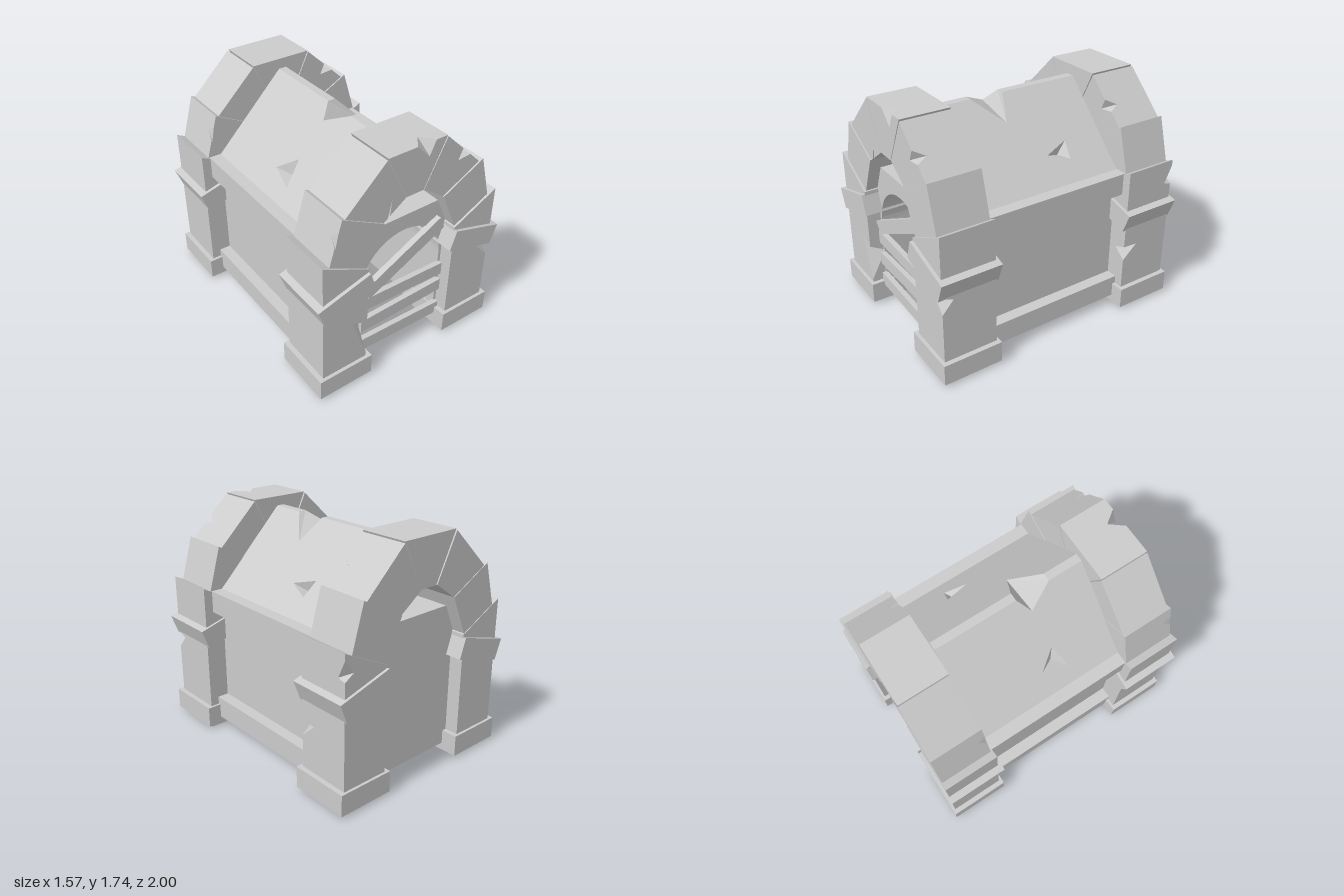
import * as THREE from 'three';

const V = (x, y, z) => new THREE.Vector3(x, y, z);
const material = new THREE.MeshStandardMaterial({ color: 0xcccccc, flatShading: true });

// Flat polygon with optional holes, turned to face the given direction
function poly(out, pts, toward, holes = []) {
  const n = V(0, 0, 0);
  pts.forEach((p, i) => n.add(p.clone().cross(pts[(i + 1) % pts.length])));
  n.normalize();
  if (n.dot(toward) < 0) n.negate();
  const u = pts[1].clone().sub(pts[0]).normalize(), v = n.clone().cross(u);
  const flat = (list) => list.map((p) => new THREE.Vector2(p.dot(u), p.dot(v)));
  const all = [...pts, ...holes.flat()];
  for (const t of THREE.ShapeUtils.triangulateShape(flat(pts), holes.map(flat))) {
    const [a, b, c] = t.map((i) => all[i]);
    const m = b.clone().sub(a).cross(c.clone().sub(a));
    for (const p of m.dot(n) > 0 ? [a, b, c] : [a, c, b]) out.push(p.x, p.y, p.z);
  }
}

function meshOf(out, name) {
  const g = new THREE.BufferGeometry();
  g.setAttribute('position', new THREE.Float32BufferAttribute(out, 3));
  g.computeVertexNormals();
  const m = new THREE.Mesh(g, material);
  m.name = name;
  return m;
}

// Prism along z with wedge-shaped chips broken out of its front or back edges.
// chip: edge index, end, t1..t2 along the edge, tip [x, y] on the end face,
// and a second tip at tr along the edge, depth into the side face.
function stone(name, profile, z0, z1, chips = [], mirror = 1) {
  const out = [];
  const at = (p, z) => V(p[0] * mirror, p[1], z);
  const mid = profile.reduce((s, p) => s.add(at(p, 0)), V(0, 0, 0)).divideScalar(profile.length);
  const caps = { front: [], back: [] };
  profile.forEach((a, i) => {
    const b = profile[(i + 1) % profile.length];
    const side = { front: [at(a, z1)], back: [at(a, z0)] };
    caps.front.push(at(a, z1));
    caps.back.push(at(a, z0));
    for (const c of chips.filter((k) => k.edge === i)) {
      const z = c.end === 'front' ? z1 : z0;
      const on = (t, zz) => at(a, zz).lerp(at(b, zz), t);
      const p1 = on(c.t1, z), p2 = on(c.t2, z), q = at(c.tip, z);
      const r = on(c.tr, z + (c.end === 'front' ? -c.depth : c.depth));
      caps[c.end].push(p1, q, p2);
      side[c.end].push(p1, r, p2);
      poly(out, [p1, q, r], p2.clone().sub(p1));
      poly(out, [p2, q, r], p1.clone().sub(p2));
    }
    side.front.push(at(b, z1));
    side.back.push(at(b, z0));
    const d = at(b, 0).sub(at(a, 0));
    poly(out, [...side.front, ...side.back.reverse()], V(d.y * mirror, -d.x * mirror, 0));
  });
  poly(out, caps.front, V(0, 0, 1));
  poly(out, caps.back, V(0, 0, -1));
  return meshOf(out, name);
}

function box(name, x0, x1, y0, y1, z0, z1) {
  const m = new THREE.Mesh(new THREE.BoxGeometry(x1 - x0, y1 - y0, z1 - z0), material);
  m.position.set((x0 + x1) / 2, (y0 + y1) / 2, (z0 + z1) / 2);
  m.name = name;
  return m;
}

// Wall block with an arched doorway running through it and no floor
function doorBlock(name, w, top, z0, z1) {
  const s = new THREE.Shape();
  s.moveTo(-w, 0.075);
  s.lineTo(-0.35, 0.075);
  s.lineTo(-0.35, 0.7);
  s.absarc(0, 0.7, 0.35, Math.PI, 0, true);
  s.lineTo(0.35, 0.075);
  s.lineTo(w, 0.075);
  s.lineTo(w, top);
  s.lineTo(-w, top);
  const g = new THREE.ExtrudeGeometry(s, { depth: z1 - z0, bevelEnabled: false, curveSegments: 16 });
  const m = new THREE.Mesh(g, material);
  m.position.z = z0;
  m.name = name;
  return m;
}

// Gabled roof with a broken ridge and a pit in each slope
function roof() {
  const out = [], Z = 0.575, E = 0.575, R = 0.03;
  const on = (x, z) => V(x, 1.665 - (Math.abs(x) - R) * 1.009, z);
  const tipL = on(-0.12, 0.12), tipR = on(0.19, 0.12);
  const pits = {
    '1': [[0.355, -0.265], [0.455, -0.245], [0.405, -0.08]],
    '-1': [[-0.44, 0], [-0.34, 0.14], [-0.485, 0.2]],
  };
  for (const s of [1, -1]) {
    const hole = pits[s].map(([x, z]) => on(x, z));
    const up = V(s, 1, 0);
    poly(out, [on(s * E, Z), on(s * E, -Z), on(s * R, -Z), on(s * R, 0.05),
      s > 0 ? tipR : tipL, on(s * R, 0.31), on(s * R, Z)], up, [hole]);
    const apex = hole[0].clone().add(hole[1]).add(hole[2]).divideScalar(3).addScaledVector(up, -0.045);
    hole.forEach((p, i) => poly(out, [p, hole[(i + 1) % 3], apex], up));
    // ridge strip and gable end
    const [za, zb] = s > 0 ? [0.31, Z] : [-Z, 0.05];
    poly(out, [on(-R, za), on(R, za), on(R, zb), on(-R, zb)], V(0, 1, 0));
    poly(out, [on(-E, s * Z), on(E, s * Z), on(R, s * Z), on(-R, s * Z)], V(0, 0, s));
    // broken faces of the ridge
    const z = s > 0 ? 0.31 : 0.05;
    poly(out, [on(-R, z), on(R, z), tipR], V(0, 1, -s * 0.3));
    poly(out, [on(-R, z), tipR, tipL], V(0, 1, -s * 0.3));
  }
  return meshOf(out, 'roof');
}

// Stone outlines for the +x half, counter-clockwise
const KEYSTONE = [[-0.07, 1.39], [0.07, 1.39], [0.238, 1.735], [-0.238, 1.735]];
const UPPER = [[0.075, 1.39], [0.25, 1.265], [0.555, 1.425], [0.243, 1.725]];
const LOWER = [[0.25, 1.265], [0.385, 0.96], [0.675, 1.115], [0.582, 1.44]];
const PILLAR = [[0.372, 0.015], [0.735, 0.015], [0.735, 1.145], [0.372, 0.965]];
const SLAB = [[0.325, 0.795], [0.73, 0.677], [0.786, 0.826], [0.375, 0.945]];

function archway(isFront) {
  const g = new THREE.Group();
  g.name = isFront ? 'frontArch' : 'backArch';
  const c = isFront ? 0.77 : -0.77;
  const chip = (edge, end, t1, t2, tip, tr, depth) => ({ edge, end, t1, t2, tip, tr, depth });
  g.add(stone('keystone', KEYSTONE, c - 0.19, c + 0.18,
    isFront ? [chip(2, 'front', 0.2, 0.52, [0.095, 1.63], 0.35, 0.1)] : []));
  for (const s of [1, -1]) {
    const upperChips = s > 0
      ? [chip(2, 'front', 0.47, 0.7, [0.355, 1.505], 0.4, 0.08)].map((k) => ({ ...k, t1: 0.3, t2: 0.53 }))
      : [chip(0, 'front', 0.72, 0.82, [0.19, 1.42], 0.78, 0.06)];
    const lowerChips = s < 0 ? [chip(2, 'front', 0.42, 0.72, [0.63, 1.24], 0.6, 0.06)] : [];
    let pillarChips = [];
    if (isFront && s > 0) pillarChips = [chip(1, 'front', 0.485, 0.598, [0.62, 0.685], 0.57, 0.085)];
    if (isFront && s < 0) pillarChips = [chip(3, 'front', 0.49, 0.795, [0.495, 0.555], 0.56, 0.12)];
    if (!isFront && s > 0) pillarChips = [
      chip(1, 'front', 0.36, 0.46, [0.64, 0.5], 0.455, 0.12),
      chip(1, 'back', 0.83, 0.96, [0.66, 1.0], 0.845, 0.06)];
    g.add(stone('upperArchStone', UPPER, c - 0.195, c + 0.18, upperChips, s));
    g.add(stone('lowerArchStone', LOWER, c - 0.2, c + 0.19, lowerChips, s));
    g.add(stone('pillar', PILLAR, c - 0.205, c + 0.205, pillarChips, s));
    g.add(stone('pillarSlab', SLAB, c - 0.225, c + 0.23, [], s));
    const x = s * 0.555;
    g.add(box('pillarBase', x - 0.217, x + 0.217, 0.02, 0.18, c - 0.225, c + 0.23));
    g.add(box('pillarFoot', x - 0.182, x + 0.182, 0, 0.03, c - 0.205, c + 0.205));
  }
  return g;
}

export function createModel() {
  const model = new THREE.Group();
  model.name = 'stoneVault';

  // Body: solid at the back, hollow behind the doorway
  model.add(doorBlock('frontWall', 0.5, 1.17, 0.57, 0.87));
  model.add(doorBlock('hallWalls', 0.58, 1.115, -0.15, 0.57));
  model.add(box('rearHall', -0.58, 0.58, 0.075, 1.115, -0.57, -0.15));
  model.add(box('backWall', -0.5, 0.5, 0.075, 1.17, -0.87, -0.57));
  model.add(roof());

  // Base and eave mouldings on both sides
  for (const s of [1, -1]) {
    const x = [s * 0.57, s * 0.667].sort((a, b) => a - b);
    model.add(box('baseMoulding', ...x, 0.075, 0.24, -0.6, 0.6));
    model.add(box('eaveMoulding', ...x, 0.95, 1.115, -0.6, 0.6));
  }

  model.add(archway(true), archway(false));

  // Boards nailed across the doorway: [left y, right y] of the lower edge
  for (const [l, r] of [[0.523, 0.503], [0.33, 0.35], [0.248 - 0.1, 0.128]]) {
    model.add(stone('board', [[-0.36, l], [0.365, r], [0.365, r + 0.1], [-0.36, l + 0.1]], 0.86, 0.9));
  }
  model.add(stone('diagonalBoard', [[-0.3, 0.625], [0.337, 0.95], [0.295, 1.045], [-0.37, 0.705]], 0.865, 0.91));
  return model;
}
